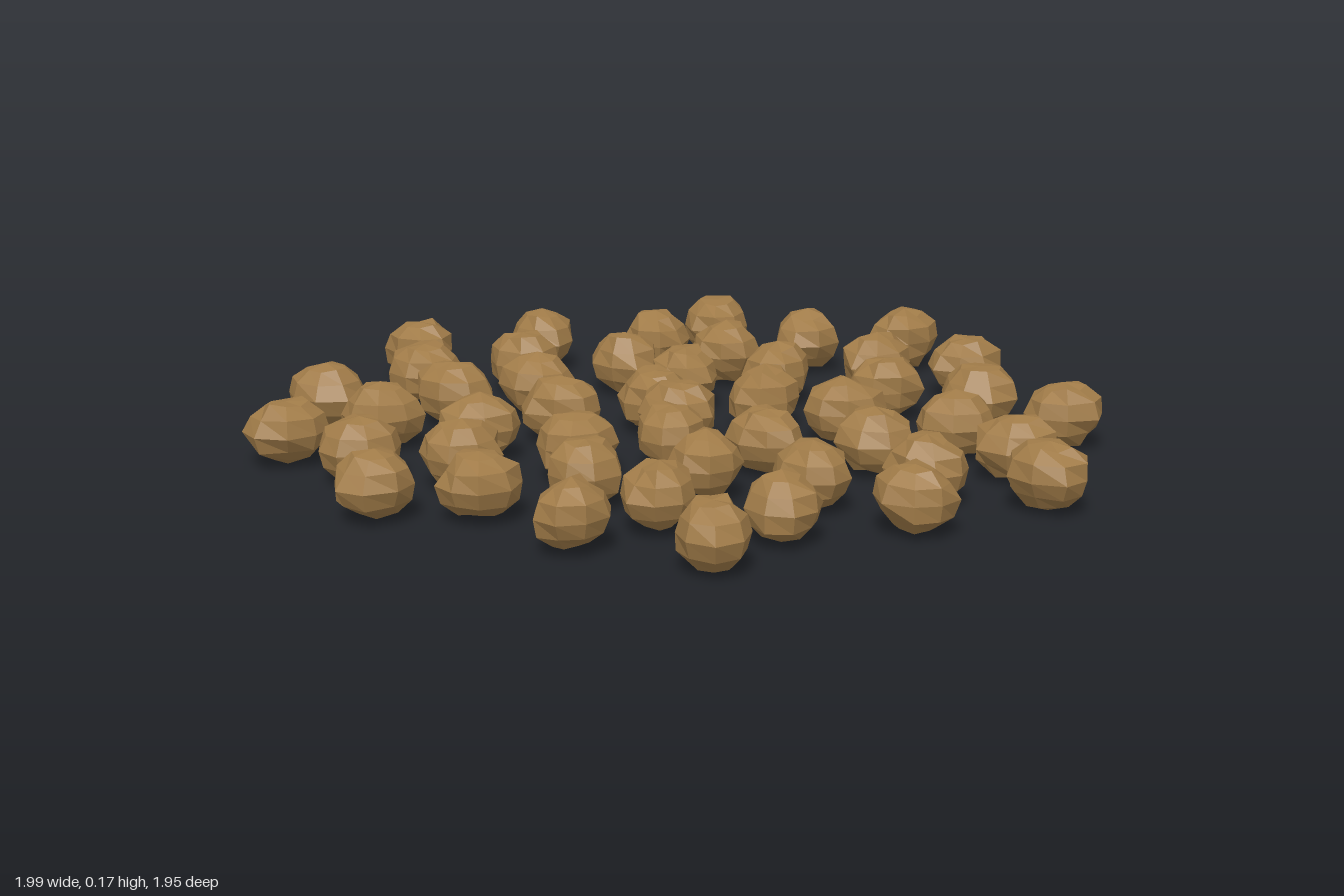
import * as THREE from 'three';

// Pebble centres (x, z) in hundredths, spread in a loose sunflower spiral
const CENTRES = [
  -18, -88, 9, -79, 33, -88, -29, -68, -8, -61, -58, -61, 32, -60, 54, -64,
  -85, -42, -55, -37, -30, -44, -11, -34, 10, -44, 39, -37, 63, -36, 85, -25,
  -75, -20, -44, -17, 13, -20, 34, -14, 62, -9, -12, -11, -3, -1, -61, -3,
  -31, 4, -90, 7, -70, 21, -44, 24, 1, 19, 23, 16, 47, 10, 79, 6,
  63, 29, 90, 27, -86, 40, -64, 49, -40, 47, -18, 32, 15, 39, 40, 41,
  65, 51, -9, 52, -50, 74, -28, 68, 12, 65, 39, 65, -2, 83, 30, 87,
];
const SIDES = 8, RINGS = 6;

function seeded(seed) {
  let s = seed;
  return () => {
    s = (s * 16807) % 2147483647;
    return s / 2147483647;
  };
}

// Low-poly sphere with each vertex pushed in or out along its radius
function pebbleGeometry(random) {
  const sphere = new THREE.SphereGeometry(1, SIDES, RINGS);
  const p = sphere.attributes.position;
  const v = new THREE.Vector3();
  for (let ring = 0; ring <= RINGS; ring++) {
    const pole = ring === 0 || ring === RINGS;
    const push = Array.from({ length: SIDES }, () => 0.9 + 0.2 * random());
    for (let side = 0; side <= SIDES; side++) {
      const i = ring * (SIDES + 1) + side;
      v.fromBufferAttribute(p, i).multiplyScalar(push[pole ? 0 : side % SIDES]);
      p.setXYZ(i, v.x, v.y, v.z);
    }
  }
  const flat = sphere.toNonIndexed();
  flat.computeVertexNormals();
  return flat;
}

export function createModel() {
  const model = new THREE.Group();
  model.name = 'pebbleCluster';
  const brown = new THREE.MeshStandardMaterial({ color: 0xa07b48, flatShading: true });
  brown.name = 'earthBrown';
  const random = seeded(4711);

  for (let i = 0; i < CENTRES.length; i += 2) {
    const x = CENTRES[i] / 100, z = CENTRES[i + 1] / 100;
    const pebble = new THREE.Mesh(pebbleGeometry(random), brown);
    pebble.name = `pebble${i / 2 + 1}`;
    // Each pebble is flattened and points away from the centre
    pebble.scale.set(0.099, 0.076, 0.085);
    pebble.rotation.y = Math.atan2(-z, x);
    pebble.position.set(x, 0.085, z);
    model.add(pebble);
  }
  return model;
}
